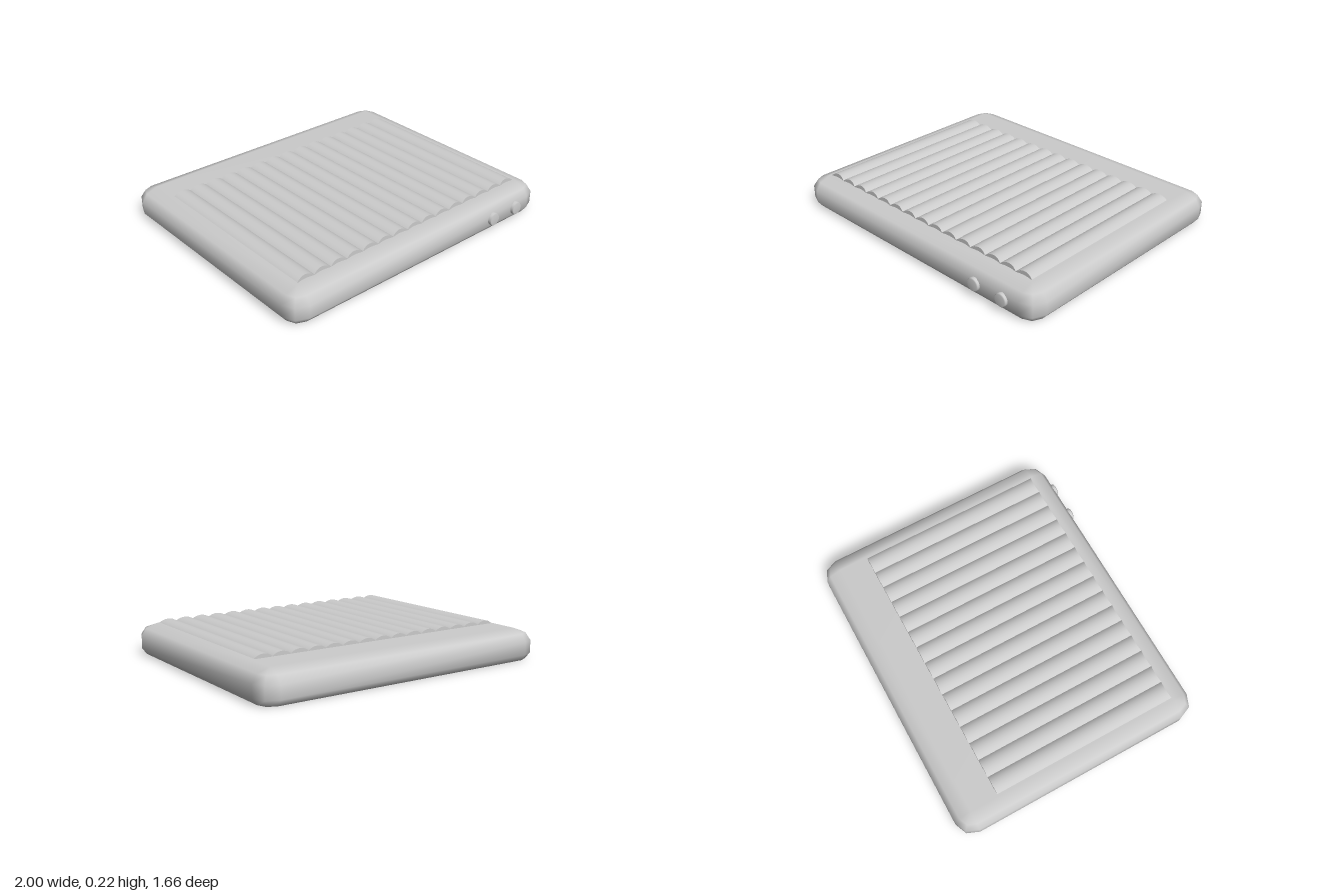
import * as THREE from 'three';
import { mergeVertices } from 'three/addons/utils/BufferGeometryUtils.js';

const MAT = new THREE.MeshStandardMaterial({ color: 0xcccccc });
const HALF_X = 1, Z_BACK = -0.83, Z_FRONT = 0.81, RADIUS = 0.11, TOP = 0.196;

function addMesh(parent, geometry, name, x = 0, y = 0, z = 0) {
  const mesh = new THREE.Mesh(geometry, MAT);
  mesh.name = name;
  mesh.position.set(x, y, z);
  parent.add(mesh);
  return mesh;
}

// Soft slab: stacked rounded-rectangle loops, each [inset, height]
function bodyGeometry() {
  const rings = [[0.032, 0], [0, 0.04], [0, 0.12], [0.032, 0.168], [RADIUS, TOP]];
  const corners = [[1, 1], [-1, 1], [-1, -1], [1, -1]];
  const n = 12, pos = [], idx = [];
  for (const [inset, y] of rings) {
    const r = RADIUS - inset;
    corners.forEach(([sx, sz], c) => {
      const cx = sx * (HALF_X - RADIUS);
      const cz = sz > 0 ? Z_FRONT - RADIUS : Z_BACK + RADIUS;
      for (let k = 0; k < 3; k++) {
        const a = (c + k / 2) * Math.PI / 2;
        pos.push(cx + r * Math.cos(a), y, cz + r * Math.sin(a));
      }
    });
  }
  const last = rings.length - 1;
  for (let i = 0; i < last; i++) {
    for (let j = 0; j < n; j++) {
      const a = i * n + j, b = i * n + (j + 1) % n;
      idx.push(a, a + n, b);
      // the last loop's corners are single points, so skip their empty triangles
      if (i < last - 1 || j % 3 === 2) idx.push(b, a + n, b + n);
    }
  }
  // flat bottom and top
  for (let j = 1; j < n - 1; j++) idx.push(0, j, j + 1);
  const t = last * n;
  idx.push(t, t + 6, t + 3, t, t + 9, t + 6);

  let g = new THREE.BufferGeometry();
  g.setAttribute('position', new THREE.Float32BufferAttribute(pos, 3));
  g.setIndex(idx);
  g = mergeVertices(g, 1e-5);
  g.computeVertexNormals();
  return g;
}

// Shallow arched rib running front to back, its front end leaning back
function ribGeometry(width, rise, zBack, zFront) {
  const h = width / 2;
  const r = (h * h + rise * rise) / (2 * rise);
  const half = Math.asin(h / r);
  const length = zFront - zBack;
  const g = new THREE.CylinderGeometry(r, r, length, 8, 1, false, Math.PI - half, 2 * half);
  g.rotateX(Math.PI / 2);
  g.translate(0, -(r - rise), (zFront + zBack) / 2);
  const p = g.attributes.position;
  for (let i = 0; i < p.count; i++) {
    if (p.getZ(i) > 0 && p.getY(i) > 0) p.setZ(i, p.getZ(i) - p.getY(i) * 0.5);
  }
  return g;
}

export function createModel() {
  const model = new THREE.Group();
  model.name = 'ribbedPad';

  addMesh(model, bodyGeometry(), 'body');

  // row of ribs on the top
  const ribs = new THREE.Group();
  ribs.name = 'ribs';
  const count = 15, pitch = 0.117;
  const rib = ribGeometry(pitch, 0.021, -0.535, 0.69);
  for (let i = 0; i < count; i++) {
    addMesh(ribs, rib, 'rib', (i - (count - 1) / 2) * pitch, 0.199, 0);
  }
  model.add(ribs);

  // two round knobs on the front face
  const profile = [[0.042, -0.03], [0.042, 0.014], [0.036, 0.02], [0, 0.02]];
  const knob = new THREE.LatheGeometry(profile.map(([x, y]) => new THREE.Vector2(x, y)), 24);
  knob.rotateX(Math.PI / 2);
  for (const x of [0.565, 0.775]) addMesh(model, knob, 'knob', x, 0.085, Z_FRONT);

  return model;
}
